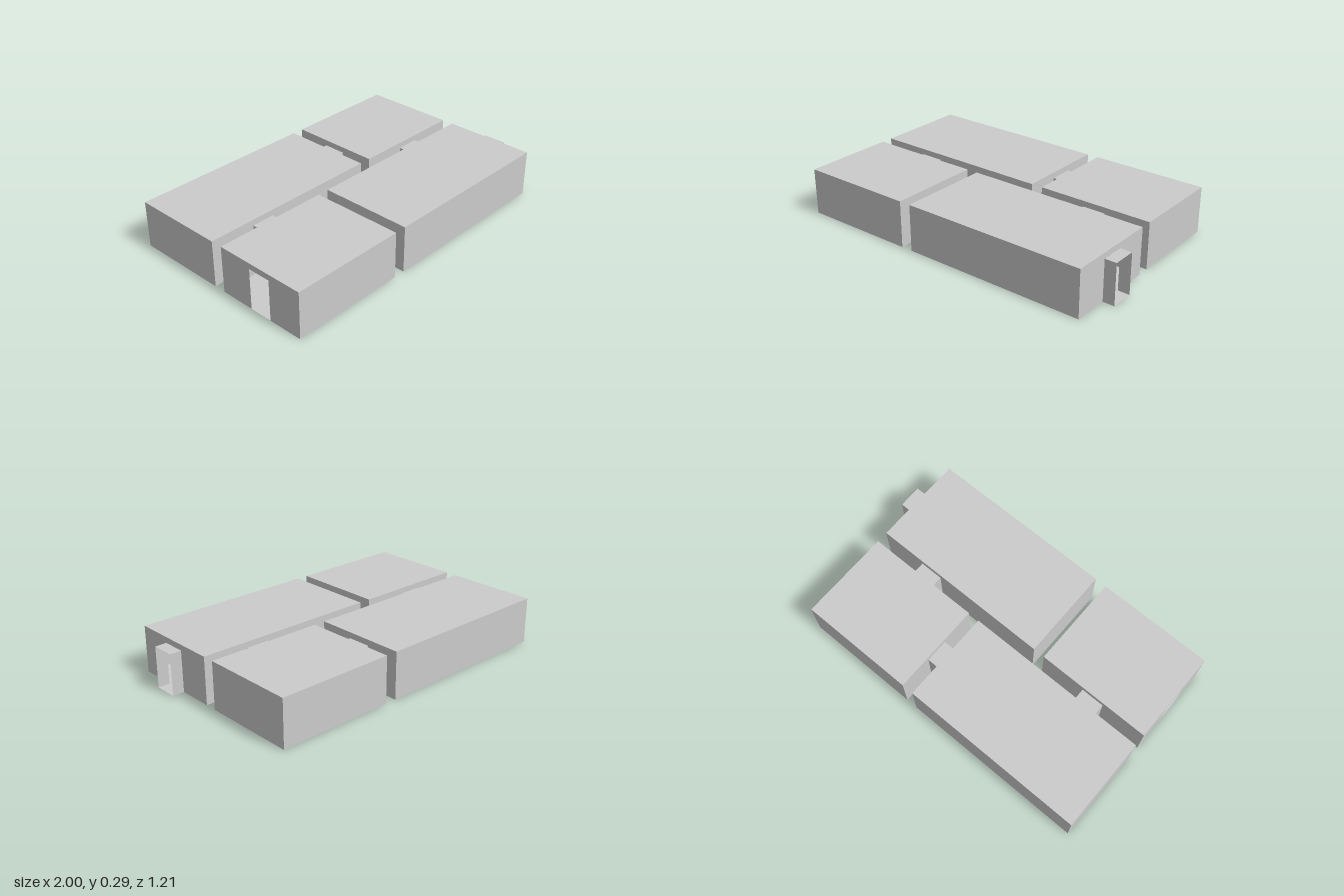
import * as THREE from 'three';

const U = 1 / 14;                 // layout module
const H = 4 * U;                  // room height
const DOOR_W = 2 * U, DOOR_H = 3.5 * U;
const mat = new THREE.MeshStandardMaterial({ color: 0xcccccc, side: THREE.DoubleSide, flatShading: true });

function addMesh(parent, name, geometry) {
  const mesh = new THREE.Mesh(geometry, mat);
  mesh.name = name;
  parent.add(mesh);
  return mesh;
}

// Upright wall sheet, with an optional doorway notch centred on its width
function wallGeometry(width, height, door) {
  const w = width / 2, d = DOOR_W / 2;
  const pts = [[-w, 0]];
  if (door) pts.push([-d, 0], [-d, DOOR_H], [d, DOOR_H], [d, 0]);
  pts.push([w, 0], [w, height], [-w, height]);
  return new THREE.ShapeGeometry(new THREE.Shape(pts.map(p => new THREE.Vector2(...p))));
}

// Thin-walled hollow box; walls maps each side to 'solid', 'door' or nothing (open)
function shell(name, x0, x1, z0, z1, height, walls) {
  const group = new THREE.Group();
  group.name = name;
  const w = x1 - x0, d = z1 - z0;
  group.position.set((x0 + x1) / 2, 0, (z0 + z1) / 2);
  addMesh(group, 'floor', new THREE.PlaneGeometry(w, d).rotateX(Math.PI / 2));
  addMesh(group, 'ceiling', new THREE.PlaneGeometry(w, d).rotateX(-Math.PI / 2).translate(0, height, 0));
  const sides = {
    front: [w, d / 2, 0], left: [d, w / 2, Math.PI / 2],
    back: [w, d / 2, Math.PI], right: [d, w / 2, -Math.PI / 2],
  };
  for (const [side, kind] of Object.entries(walls)) {
    const [width, offset, turn] = sides[side];
    addMesh(group, side + 'Wall',
      wallGeometry(width, height, kind === 'door').translate(0, 0, offset).rotateY(turn));
  }
  return group;
}

// Room: every wall solid unless listed as having a doorway (left is +x)
function room(name, x0, x1, z0, z1, doors) {
  const walls = {};
  for (const side of ['front', 'back', 'left', 'right']) walls[side] = doors.includes(side) ? 'door' : 'solid';
  return shell(name, x0 * U, x1 * U, z0 * U, z1 * U, H, walls);
}

// Passage: short tunnel, open at both ends along the given axis
function passage(name, axis, x, z) {
  const hx = (axis === 'x' ? 0.5 : 1) * U, hz = (axis === 'x' ? 1 : 0.5) * U;
  const walls = axis === 'x' ? { front: 'solid', back: 'solid' } : { left: 'solid', right: 'solid' };
  return shell(name, x * U - hx, x * U + hx, z * U - hz, z * U + hz, DOOR_H, walls);
}

export function createModel() {
  const model = new THREE.Group();
  model.name = 'roomLayout';
  model.add(
    // Four hollow rooms
    room('backLongRoom', -14, 2, -8.5, -0.5, ['left', 'front']),
    room('backSmallRoom', 3, 13, -8.5, -0.5, ['right', 'front']),
    room('frontSmallRoom', -14, -4, 0.5, 8.5, ['right', 'back']),
    room('frontLongRoom', -3, 13, 0.5, 8.5, ['left', 'back']),
    // Passages between the rooms, and the outer one at the end
    passage('backPassage', 'x', 2.5, -4.5),
    passage('entrancePassage', 'x', 13.5, 4.5),
    passage('rightCrossPassage', 'z', -9, 0),
    passage('leftCrossPassage', 'z', 8, 0),
  );
  // Doorways in long walls line up with the cross passages rather than the wall centre
  for (const [roomName, side, doorX] of [['backLongRoom', 'front', -9], ['frontLongRoom', 'back', 8]]) {
    const group = model.getObjectByName(roomName);
    const old = group.getObjectByName(side + 'Wall');
    const w = 16 * U, z = (side === 'front' ? 4 : -4) * U;
    const c = doorX * U - group.position.x, d = DOOR_W / 2;
    const outline = [[-w / 2, 0], [c - d, 0], [c - d, DOOR_H], [c + d, DOOR_H], [c + d, 0],
      [w / 2, 0], [w / 2, H], [-w / 2, H]].map(p => new THREE.Vector2(...p));
    old.geometry = new THREE.ShapeGeometry(new THREE.Shape(outline)).translate(0, 0, z);
  }
  return model;
}
